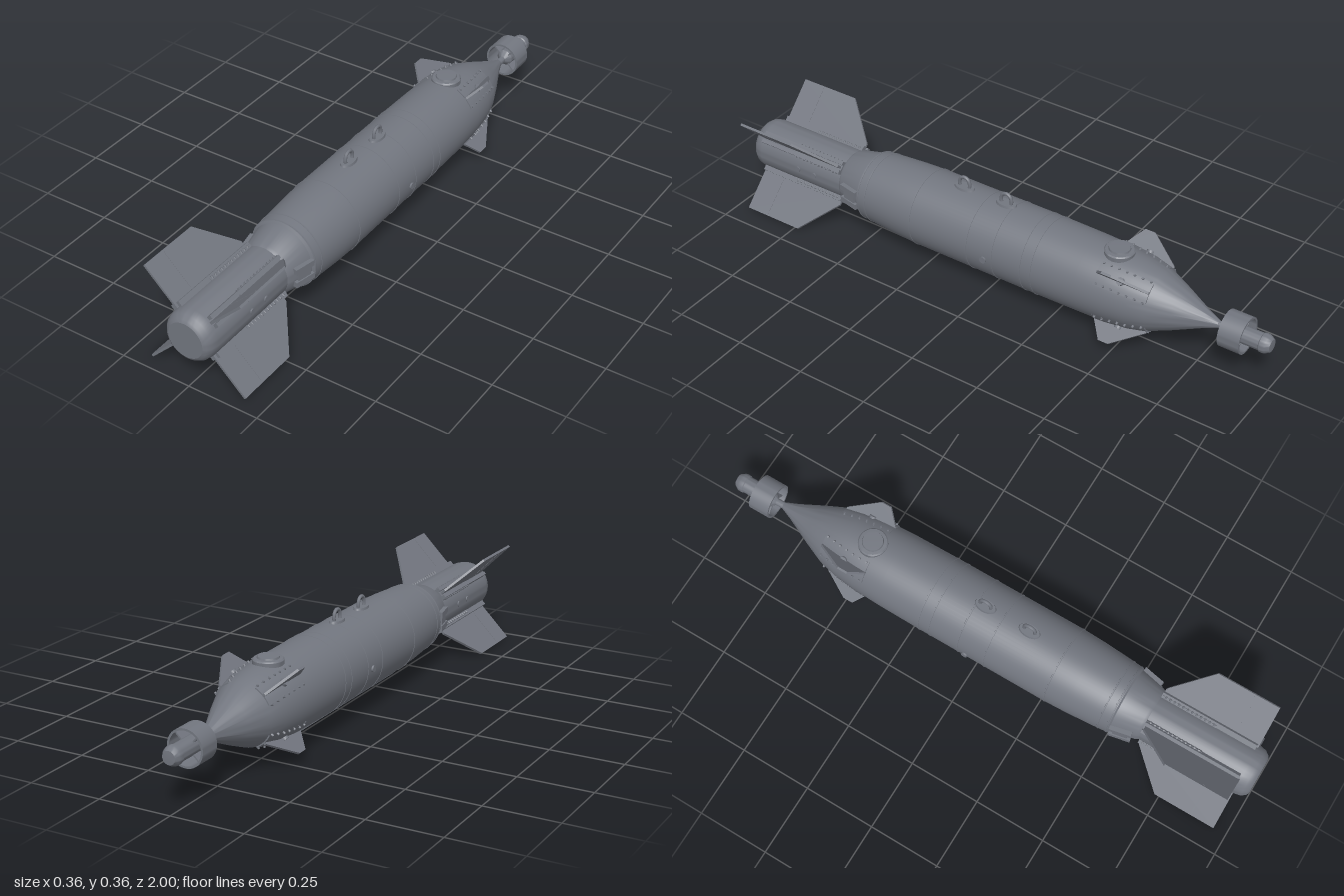
import * as THREE from 'three';
import { toCreasedNormals, mergeGeometries } from 'three/addons/utils/BufferGeometryUtils.js';

const grey = new THREE.MeshStandardMaterial({ color: 0x72767f });
grey.name = 'matte grey';
grey.side = THREE.DoubleSide;

const AXIS_Y = 0.18;

// Hull outline as [radius, z], nose to tail
const HULL = [
  [0, -0.82], [0.012, -0.815], [0.03, -0.77], [0.072, -0.68], [0.104, -0.605], [0.119, -0.54],
  [0.128, -0.46], [0.132, -0.36], [0.134, -0.2], [0.134, 0.28], [0.131, 0.36], [0.125, 0.45],
  [0.12, 0.51], [0.112, 0.515], [0.094, 0.6], [0.088, 0.61], [0.088, 0.955], [0.083, 0.98],
  [0.073, 0.994], [0.063, 1.0], [0, 1.0],
];

function hullRadius(z) {
  for (let i = 1; i < HULL.length; i++) {
    const [r0, z0] = HULL[i - 1], [r1, z1] = HULL[i];
    if (z <= z1) return r0 + (r1 - r0) * (z - z0) / (z1 - z0);
  }
  return 0;
}

// Turned part along z from [radius, z] pairs
function turned(points, segments = 48, start = 0, length = Math.PI * 2) {
  const g = new THREE.LatheGeometry(points.map(p => new THREE.Vector2(...p)), segments, start, length);
  return toCreasedNormals(g.rotateX(Math.PI / 2), 0.5);
}

function add(parent, name, geometry, x = 0, y = 0, z = 0) {
  const mesh = new THREE.Mesh(geometry, grey);
  mesh.name = name;
  mesh.position.set(x, y, z);
  parent.add(mesh);
  return mesh;
}

// Flat plate drawn in (z, radial y), centred on x = 0
function plate(points, thickness) {
  const shape = new THREE.Shape(points.map(p => new THREE.Vector2(...p)));
  const g = new THREE.ExtrudeGeometry(shape, { depth: thickness, bevelEnabled: false });
  return g.rotateY(-Math.PI / 2).translate(thickness / 2, 0, 0);
}

// Rows of small round fasteners standing on the hull
function studs(xs, z0, z1, count, lift, size) {
  const list = [];
  for (const x of xs) for (let i = 0; i < count; i++) {
    const z = z0 + (z1 - z0) * i / (count - 1);
    const r = hullRadius(z);
    const g = new THREE.CylinderGeometry(size * 0.8, size, 0.008, 8);
    g.translate(0, r + lift, 0).rotateZ(-Math.asin(x / r)).translate(0, 0, z);
    list.push(g);
  }
  return mergeGeometries(list);
}

function tailFin() {
  const g = new THREE.Group();
  g.name = 'tailFin';
  add(g, 'finBlade', plate([[0.615, 0.08], [0.955, 0.08], [0.955, 0.2475], [0.735, 0.2475], [0.615, 0.115]], 0.008));
  add(g, 'finHingeLine', new THREE.BoxGeometry(0.01, 0.13, 0.004), 0, 0.175, 0.87);
  for (const s of [-1, 1]) {
    add(g, 'finRail', new THREE.BoxGeometry(0.012, 0.022, 0.34), s * 0.015, 0.092, 0.78);
  }
  add(g, 'finSaddle', new THREE.BoxGeometry(0.046, 0.014, 0.2), 0, 0.087, 0.71);
  add(g, 'finStuds', studs([-0.021, 0.021], 0.625, 0.8, 12, 0.007, 0.004));
  return g;
}

function noseFin() {
  const g = new THREE.Group();
  g.name = 'noseFin';
  add(g, 'finBlade', plate([[-0.605, 0.1], [-0.42, 0.12], [-0.425, 0.136], [-0.465, 0.192], [-0.5, 0.192], [-0.605, 0.114]], 0.008));
  // curved mounting panel hugging the hull
  const zs = [-0.605, -0.54, -0.46, -0.425];
  const panel = [[hullRadius(zs[0]) - 0.004, zs[0]], ...zs.map(z => [hullRadius(z) + 0.004, z]),
    [hullRadius(zs[3]) - 0.004, zs[3]]];
  add(g, 'finPanel', turned(panel, 8, Math.PI - 0.32, 0.64));
  add(g, 'finPivot', new THREE.CylinderGeometry(0.013, 0.013, 0.014, 16), 0, 0.127, -0.51);
  add(g, 'finStuds', studs([-0.034, 0.034], -0.595, -0.435, 7, 0.005, 0.0045));
  return g;
}

function liftingLug() {
  const g = new THREE.Group();
  g.name = 'liftingLug';
  const base = new THREE.CylinderGeometry(0.02, 0.023, 0.012, 24).scale(1, 1, 1.8);
  add(g, 'lugBase', base, 0, 0.134, 0);
  // upright loop spanning fore and aft
  const path = new THREE.CatmullRomCurve3([[0.13, -0.017], [0.15, -0.02], [0.168, -0.014], [0.174, 0],
    [0.168, 0.014], [0.15, 0.02], [0.13, 0.017]].map(([y, z]) => new THREE.Vector3(0, y, z)));
  add(g, 'lugLoop', new THREE.TubeGeometry(path, 24, 0.006, 8));
  return g;
}

export function createModel() {
  const model = new THREE.Group();
  model.name = 'finnedBody';
  const root = new THREE.Group();
  root.name = 'assembly';
  root.position.y = AXIS_Y;
  model.add(root);

  add(root, 'hull', turned(HULL, 64));

  // Joint bands
  for (const z of [-0.2, -0.16, -0.05, 0.05, 0.28, 0.475, 0.505]) {
    const r = hullRadius(z);
    add(root, 'jointBand', turned([[r - 0.002, z - 0.003], [r + 0.0015, z - 0.002],
      [r + 0.0015, z + 0.002], [r - 0.002, z + 0.003]], 64));
  }

  // Nose probe: stem, open ring on vanes, rounded tip
  add(root, 'probeStem', turned([[0, -0.85], [0.012, -0.845], [0.012, -0.8], [0, -0.795]], 20));
  add(root, 'probeRing', turned([[0.062, -0.915], [0.062, -0.84], [0.055, -0.84], [0.055, -0.915], [0.062, -0.915]]));
  add(root, 'probeTip', turned([[0, -1], [0.022, -0.998], [0.03, -0.985], [0.032, -0.978], [0.032, -0.966],
    [0.029, -0.963], [0.029, -0.86], [0.012, -0.842], [0, -0.842]], 32));
  for (let i = 0; i < 4; i++) {
    const vane = add(root, 'probeVane', new THREE.BoxGeometry(0.005, 0.034, 0.05).translate(0, 0.042, -0.878));
    vane.rotation.z = Math.PI / 4 + i * Math.PI / 2;
  }

  // Four tail fins and four nose fins on the diagonals
  for (let i = 0; i < 4; i++) {
    for (const fin of [tailFin(), noseFin()]) {
      fin.rotation.z = Math.PI / 4 + i * Math.PI / 2;
      root.add(fin);
    }
  }

  // Belly duct
  add(root, 'bellyDuct', plate([[-0.4, -0.11], [-0.4, -0.128], [-0.345, -0.15], [0.33, -0.15], [0.5, -0.13],
    [0.6, -0.105], [0.6, -0.08], [0.5, -0.09]], 0.054));

  // Lifting lugs on top
  for (const z of [-0.02, 0.145]) {
    const lug = liftingLug();
    lug.position.z = z;
    root.add(lug);
  }

  // Round cap on top of the nose section
  const cap = new THREE.LatheGeometry([[0.05, 0.115], [0.05, 0.133], [0.046, 0.137], [0.036, 0.138],
    [0.034, 0.144], [0, 0.145]].map(p => new THREE.Vector2(...p)), 32);
  add(root, 'topCap', toCreasedNormals(cap, 0.5), 0, 0, -0.45);

  // Side fittings, mirrored
  for (const s of [-1, 1]) {
    const knob = new THREE.CylinderGeometry(0.011, 0.012, 0.012, 16).rotateZ(Math.PI / 2);
    add(root, 'sideKnob', knob, s * 0.134, -0.008, -0.02);
    for (const y of [-0.027, 0.022]) {
      const clip = add(root, 'sideClip', new THREE.BoxGeometry(0.02, 0.02, 0.075), s * 0.105, y, 0.55);
      clip.rotation.y = -s * 0.2;
    }
    const strap = add(root, 'sideStrap', new THREE.BoxGeometry(0.012, 0.03, 0.05), s * 0.105, -0.002, 0.55);
    strap.rotation.y = -s * 0.2;
    const screw = new THREE.CylinderGeometry(0.01, 0.01, 0.006, 16).rotateZ(Math.PI / 2);
    for (const z of [0.72, 0.79]) add(root, 'tailScrew', screw, s * 0.088, 0.005, z);
  }
  return model;
}
